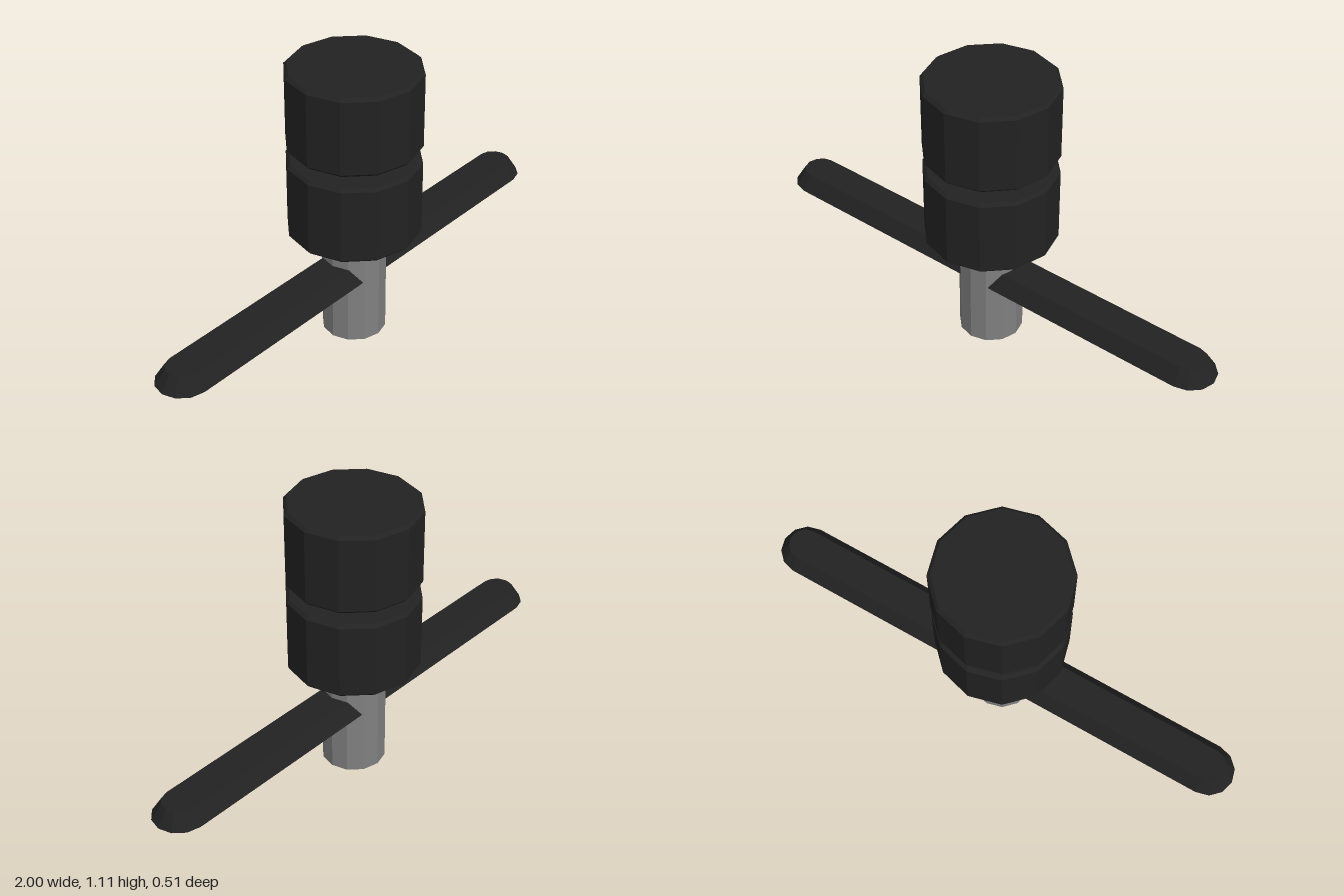
import * as THREE from 'three';

const SIDES = 12;
const black = new THREE.MeshStandardMaterial({ color: 0x222222, flatShading: true });
const steel = new THREE.MeshStandardMaterial({ color: 0x808080, flatShading: true });

function part(name, geometry, material) {
  const mesh = new THREE.Mesh(geometry, material);
  mesh.name = name;
  return mesh;
}

// Faceted drum with small chamfers on both rims
function drum(bottom, top, radius, chamfer) {
  const profile = [
    [0, bottom], [radius - chamfer, bottom], [radius, bottom + chamfer],
    [radius, top - chamfer], [radius - chamfer, top], [0, top],
  ].map(([r, y]) => new THREE.Vector2(r, y));
  return new THREE.LatheGeometry(profile, SIDES);
}

// Bar with rounded ends whose outline shrinks from bottom to top
function taperedBar(bottom, top, centre, bottomRadius, topRadius) {
  const ring = (radius, y) => {
    const points = [];
    for (const side of [1, -1]) {
      for (let i = 0; i <= 6; i++) {
        const a = -Math.PI / 2 + (i * Math.PI) / 6;
        points.push([side * (centre + radius * Math.cos(a)), y, side * radius * Math.sin(a)]);
      }
    }
    return points;
  };
  const low = ring(bottomRadius, bottom);
  const high = ring(topRadius, top);
  const lowMid = [0, bottom, 0];
  const highMid = [0, top, 0];
  const corners = [];
  low.forEach((p, i) => {
    const j = (i + 1) % low.length;
    corners.push(p, high[i], high[j], p, high[j], low[j]); // sloped side
    corners.push(highMid, high[j], high[i], lowMid, p, low[j]); // top and bottom
  });
  const geometry = new THREE.BufferGeometry();
  geometry.setAttribute('position', new THREE.Float32BufferAttribute(corners.flat(), 3));
  geometry.computeVertexNormals();
  return geometry;
}

export function createModel() {
  const model = new THREE.Group();
  model.name = 'crossbarHandle';

  // Central shaft, running up into the upper drum
  const shaft = part('shaft', new THREE.CylinderGeometry(0.123, 0.123, 0.9, SIDES), steel);
  shaft.position.y = 0.45;
  model.add(shaft);

  // Two stacked drums with a narrow gap
  model.add(part('lowerDrum', drum(0.443, 0.754, 0.254, 0.012), black));
  model.add(part('upperDrum', drum(0.803, 1.114, 0.254, 0.012), black));

  // Crossbar through the shaft
  model.add(part('crossbar', taperedBar(0.264, 0.325, 0.898, 0.102, 0.063), black));

  return model;
}
